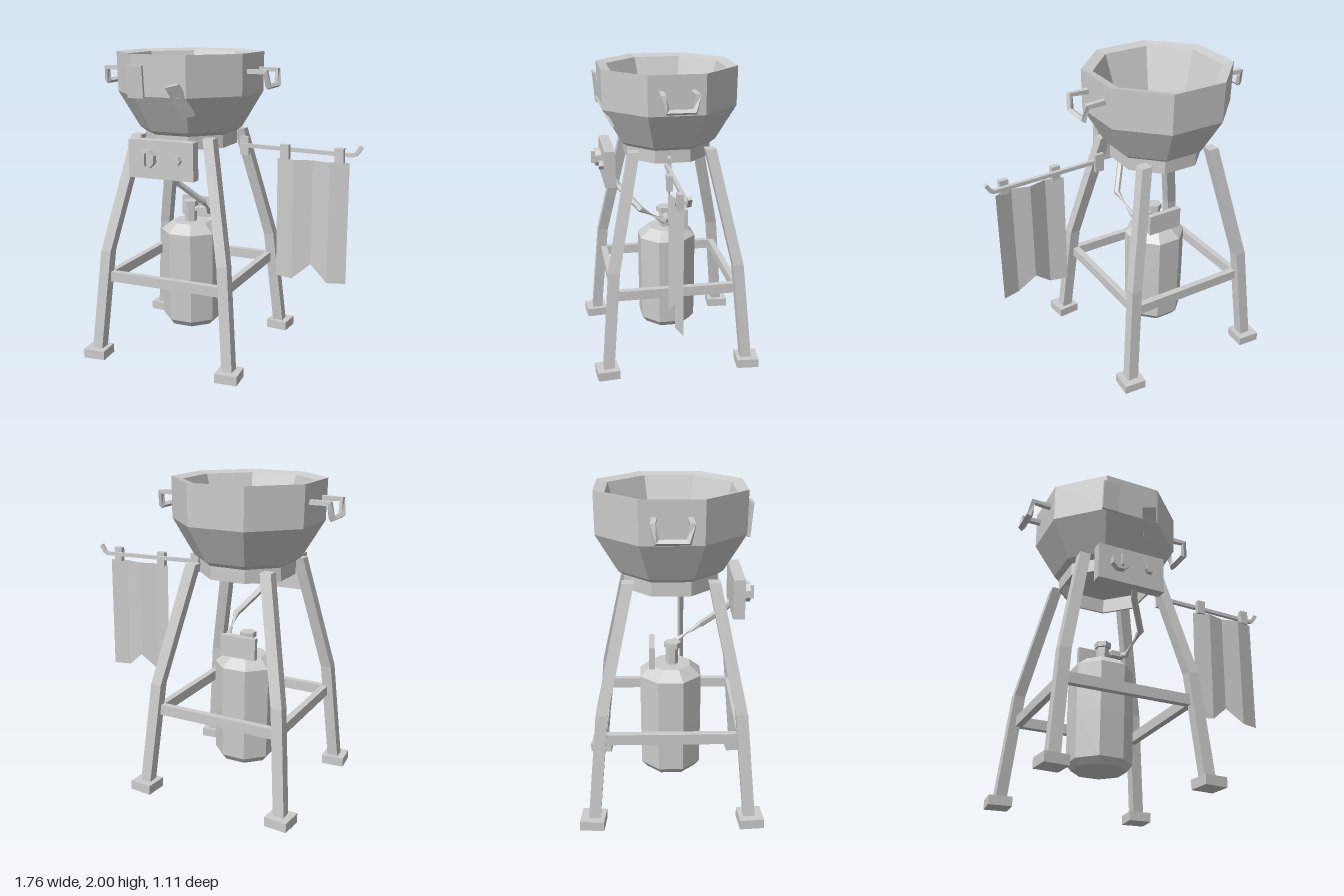
import * as THREE from 'three';

const V = (x, y, z) => new THREE.Vector3(x, y, z);

export function createModel() {
  const metal = new THREE.MeshStandardMaterial({ color: 0xcccccc, flatShading: true, side: THREE.DoubleSide });
  metal.name = 'light grey metal';
  const model = new THREE.Group();
  model.name = 'gasCooker';
  const stand = new THREE.Group();
  stand.name = 'cookerStand';
  stand.position.x = -0.29;
  model.add(stand);

  const add = (parent, name, geo, x = 0, y = 0, z = 0) => {
    const m = new THREE.Mesh(geo, metal);
    m.name = name;
    m.position.set(x, y, z);
    parent.add(m);
    return m;
  };
  const box = (parent, name, w, h, d, x, y, z) => add(parent, name, new THREE.BoxGeometry(w, h, d), x, y, z);

  // Sweep a regular section along straight runs; a fixed plane keeps all sections parallel
  const sweep = (pts, r, sides, ref, plane) => {
    const pos = [], idx = [];
    pts.forEach((p, i) => {
      const t = V(0, 0, 0);
      if (plane) t.copy(plane);
      else {
        if (i > 0) t.add(p.clone().sub(pts[i - 1]).normalize());
        if (i < pts.length - 1) t.add(pts[i + 1].clone().sub(p).normalize());
        t.normalize();
      }
      const u = ref.clone().cross(t).normalize(), v = t.clone().cross(u);
      for (let j = 0; j < sides; j++) {
        const a = (j + 0.5) / sides * Math.PI * 2;
        pos.push(...p.clone().addScaledVector(u, r * Math.cos(a)).addScaledVector(v, r * Math.sin(a)).toArray());
      }
    });
    for (let i = 0; i < pts.length - 1; i++) for (let j = 0; j < sides; j++) {
      const a = i * sides + j, b = i * sides + (j + 1) % sides;
      idx.push(a, b, b + sides, a, b + sides, a + sides);
    }
    const end = (pts.length - 1) * sides;
    for (let j = 1; j < sides - 1; j++) idx.push(0, j + 1, j, end, end + j, end + j + 1);
    const g = new THREE.BufferGeometry();
    g.setAttribute('position', new THREE.Float32BufferAttribute(pos, 3));
    g.setIndex(idx);
    g.computeVertexNormals();
    return g;
  };

  // Octagonal turned part with flats facing the axes
  const turned = (profile) => new THREE.LatheGeometry(profile.map(([r, y]) => new THREE.Vector2(r, y)), 8)
    .rotateY(Math.PI / 8);

  // Bowl with open skirt beneath and thick rim
  add(stand, 'bowl', turned([[0, 1.5], [0.285, 1.5], [0.285, 1.4], [0.3, 1.4], [0.3, 1.485], [0.335, 1.51],
    [0.472, 1.74], [0.476, 1.995], [0.405, 1.98], [0.278, 1.58], [0, 1.54]]));

  // Hexagonal burner in the bowl floor
  for (const [r, h] of [[0.15, 0.06], [0.085, 0.08]]) {
    add(stand, 'burner', new THREE.CylinderGeometry(r, r, h, 6).rotateY(Math.PI / 6), 0, 1.51 + h / 2, 0);
  }

  // Carrying handles on both sides
  for (const turn of [0, Math.PI]) {
    const path = [V(0.44, 1.885, 0.1), V(0.56, 1.885, 0.105), V(0.57, 1.795, 0.085),
      V(0.57, 1.795, -0.085), V(0.56, 1.885, -0.105), V(0.44, 1.885, -0.1)];
    add(stand, 'handle', sweep(path, 0.022, 4, V(1, 1, 0))).rotation.y = turn;
  }

  // Small plates on the front of the bowl
  box(stand, 'frontPlate', 0.11, 0.2, 0.018, -0.155, 1.83, 0.45).rotation.x = 0.08;
  const tilted = box(stand, 'tiltedPlate', 0.095, 0.225, 0.018, 0.132, 1.72, 0.415);
  tilted.rotation.set(0.47, 0, 0.26);

  // Legs and feet
  for (const sx of [-1, 1]) for (const sz of [-1, 1]) {
    const path = [[0.47, 0.05], [0.412, 0.72], [0.25, 1.48]].map(([d, y]) => V(sx * d, y, sz * d));
    add(stand, 'leg', sweep(path, 0.05, 4, V(1, 0, 0), V(0, 1, 0)));
    box(stand, 'foot', 0.147, 0.06, 0.147, sx * 0.475, 0.03, sz * 0.478).rotation.y = sz * 0.08;
  }

  // Braces between the legs
  for (const s of [-1, 1]) {
    box(stand, 'crossBrace', 0.83, 0.066, 0.042, 0, 0.548, s * 0.408);
    box(stand, 'sideBrace', 0.042, 0.066, 0.83, s * 0.402, 0.548, 0);
  }

  // Gas bottle, collar plate and valve
  add(stand, 'gasBottle', turned([[0, 0.165], [0.168, 0.165], [0.2, 0.205], [0.204, 0.5], [0.204, 0.81],
    [0.13, 0.87], [0, 0.87]]), -0.005, 0, 0);
  box(stand, 'bottleCollar', 0.24, 0.14, 0.035, -0.002, 0.942, -0.115);
  add(stand, 'valve', new THREE.CylinderGeometry(0.04, 0.04, 0.12, 6), -0.005, 0.92, 0.01);
  add(stand, 'valveKnob', new THREE.CylinderGeometry(0.053, 0.053, 0.035, 6), -0.005, 0.993, 0.015);

  // Gas hose from valve to panel
  add(stand, 'gasHose', sweep([V(0.04, 1.27, 0.39), V(0.065, 1.2, 0.335), V(0.175, 1.06, 0.2),
    V(0.15, 0.955, 0.04), V(0.1, 0.952, 0.005), V(0, 0.952, 0.005)], 0.022, 6, V(0.3, 0.5, 1)));
  box(stand, 'hoseConnector', 0.09, 0.035, 0.05, 0.095, 0.953, 0.01);

  // Control panel with knobs
  box(stand, 'controlPanel', 0.445, 0.24, 0.07, 0, 1.355, 0.4);
  const knob = (name, r, sides, depth, x) => add(stand, name,
    new THREE.CylinderGeometry(r, r, depth, sides).rotateX(Math.PI / 2).rotateZ(Math.PI / sides), x, 1.362, 0.43 + depth / 2);
  knob('mainKnob', 0.06, 8, 0.045, -0.085);
  knob('smallKnob', 0.03, 6, 0.035, 0.117);
  box(stand, 'knobGrip', 0.014, 0.08, 0.03, -0.085, 1.362, 0.485);

  // Towel rail with mount, clips and hooked end
  box(model, 'railMount', 0.06, 0.12, 0.022, 0.11, 1.415, 0.045);
  add(model, 'towelRail', sweep([V(0.09, 1.42, 0.06), V(0.82, 1.403, 0.06), V(0.84, 1.412, 0.06),
    V(0.87, 1.458, 0.06)], 0.017, 4, V(0, 0, 1)));
  for (const x of [0.398, 0.745]) box(model, 'towelClip', 0.056, 0.095, 0.035, x, 1.4, 0.092);

  // Folded cloth with a notched hem
  const xs = [0.345, 0.46, 0.575, 0.69, 0.805], hem = [0.59, 0.59, 0.69, 0.59, 0.59];
  const pos = [], idx = [];
  xs.forEach((x, i) => {
    const z = i % 2 ? 0.11 : 0.08;
    pos.push(x, hem[i], z, x, 1.358, z);
    if (i) idx.push(2 * i - 2, 2 * i, 2 * i + 1, 2 * i - 2, 2 * i + 1, 2 * i - 1);
  });
  const cloth = new THREE.BufferGeometry();
  cloth.setAttribute('position', new THREE.Float32BufferAttribute(pos, 3));
  cloth.setIndex(idx);
  cloth.computeVertexNormals();
  add(model, 'towel', cloth);

  return model;
}
